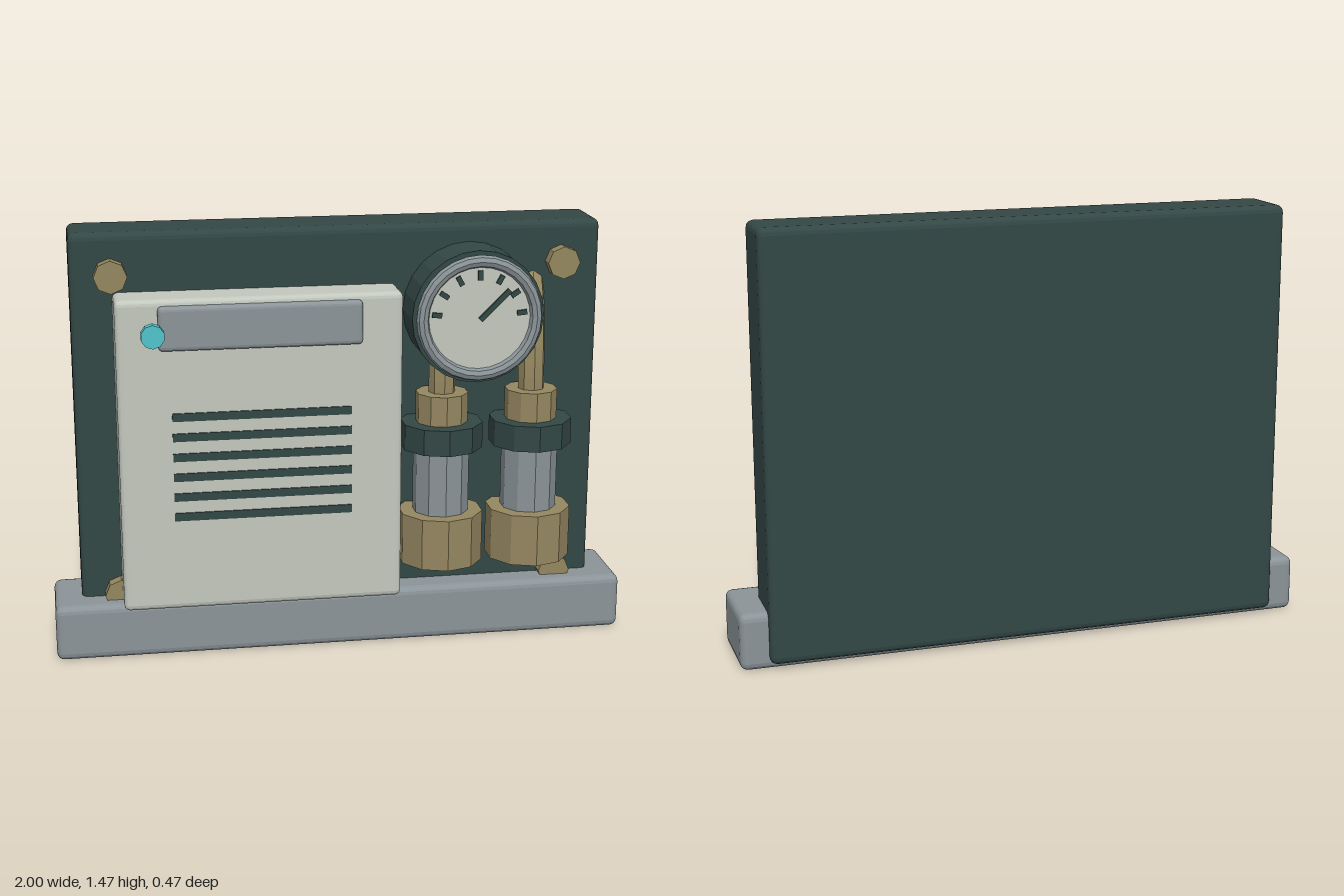
import * as THREE from 'three';
import { RoundedBoxGeometry } from 'three/addons/geometries/RoundedBoxGeometry.js';

const material = (name, color, flatShading = false) => {
  const m = new THREE.MeshStandardMaterial({ color, flatShading });
  m.name = name;
  return m;
};

export function createModel() {
  const dark = material('dark green', 0x334846, true);
  const steel = material('grey steel', 0x8b9498, true);
  const cream = material('cream', 0xc3c8be, true);
  const brass = material('brass', 0x958760, true);
  const cyan = material('cyan', 0x52c4cc, true);

  const model = new THREE.Group();
  model.name = 'controlPanel';

  const add = (parent, name, geometry, mat, x = 0, y = 0, z = 0) => {
    const mesh = new THREE.Mesh(geometry, mat);
    mesh.name = name;
    mesh.position.set(x, y, z);
    parent.add(mesh);
    return mesh;
  };

  // Bevelled box given by its limits on each axis
  const slab = (name, mat, [x0, x1], [y0, y1], [z0, z1], bevel) =>
    add(model, name, new RoundedBoxGeometry(x1 - x0, y1 - y0, z1 - z0, 2, bevel), mat,
      (x0 + x1) / 2, (y0 + y1) / 2, (z0 + z1) / 2);

  // Cylinder lying along z, from z0 to z1
  const disc = (parent, name, mat, r, sides, x, y, z0, z1) =>
    add(parent, name, new THREE.CylinderGeometry(r, r, z1 - z0, sides).rotateX(Math.PI / 2),
      mat, x, y, (z0 + z1) / 2);

  // Plates and cabinet
  slab('backPlate', dark, [-0.905, 0.905], [0.02, 1.47], [-0.23, 0], 0.025);
  slab('base', steel, [-1, 1], [0, 0.195], [-0.2, 0.1], 0.025);
  slab('cabinet', cream, [-0.765, 0.195], [0.185, 1.27], [-0.02, 0.14], 0.02);
  slab('namePlate', steel, [-0.625, 0.055], [1.1, 1.25], [0.11, 0.163], 0.015);
  disc(model, 'indicatorLamp', cyan, 0.04, 10, -0.645, 1.16, 0.163, 0.195);

  // Vent slots
  for (let i = 0; i < 6; i++) {
    add(model, 'ventSlot', new THREE.BoxGeometry(0.605, 0.028, 0.009), dark,
      -0.283, 0.87 - i * 0.07, 0.14);
  }

  // Corner bolts
  for (const x of [-0.77, 0.77]) {
    for (const y of [0.21, 1.33]) disc(model, 'bolt', brass, 0.056, 8, x, y, -0.01, 0.045);
  }

  // Pressure gauge
  const gauge = new THREE.Group();
  gauge.name = 'gauge';
  gauge.position.set(0.445, 1.18, 0);
  model.add(gauge);
  disc(gauge, 'gaugeBody', dark, 0.226, 24, 0, 0, 0, 0.163);
  disc(gauge, 'gaugeFace', cream, 0.195, 24, 0, 0, 0.16, 0.178);
  add(gauge, 'gaugeRim', new THREE.TorusGeometry(0.194, 0.021, 8, 28), steel, 0, 0, 0.181);
  for (let i = -3; i <= 3; i++) {
    const a = THREE.MathUtils.degToRad(i * 28);
    const tick = add(gauge, 'gaugeTick', new THREE.BoxGeometry(0.017, 0.033, 0.008), dark,
      Math.sin(a) * 0.146, Math.cos(a) * 0.146, 0.181);
    tick.rotation.z = -a;
  }
  const needle = add(gauge, 'gaugeNeedle', new THREE.BoxGeometry(0.018, 0.14, 0.009), dark,
    0.048, 0.047, 0.198);
  needle.rotation.z = -Math.PI / 4;

  // Valves with pipes running up and back into the plate
  const sections = [
    ['valveFoot', brass, 0.147, 0.305, 0.485],
    ['valveBarrel', steel, 0.097, 0.485, 0.715],
    ['valveCollar', dark, 0.142, 0.715, 0.805],
    ['valveNeck', brass, 0.09, 0.805, 0.908],
  ];
  for (const x of [0.34, 0.653]) {
    const valve = new THREE.Group();
    valve.name = 'valve';
    valve.position.set(x, 0, 0.09);
    model.add(valve);
    for (const [name, mat, r, y0, y1] of sections) {
      add(valve, name, new THREE.CylinderGeometry(r, r, y1 - y0, 10), mat, 0, (y0 + y1) / 2, 0);
    }
    const path = new THREE.CatmullRomCurve3([
      [0, 0.88, 0], [0, 0.98, -0.003], [0.003, 1.1, -0.022], [0.01, 1.2, -0.065], [0.018, 1.27, -0.125],
    ].map((p) => new THREE.Vector3(...p)));
    add(valve, 'valvePipe', new THREE.TubeGeometry(path, 12, 0.046, 8), brass);
  }

  return model;
}
